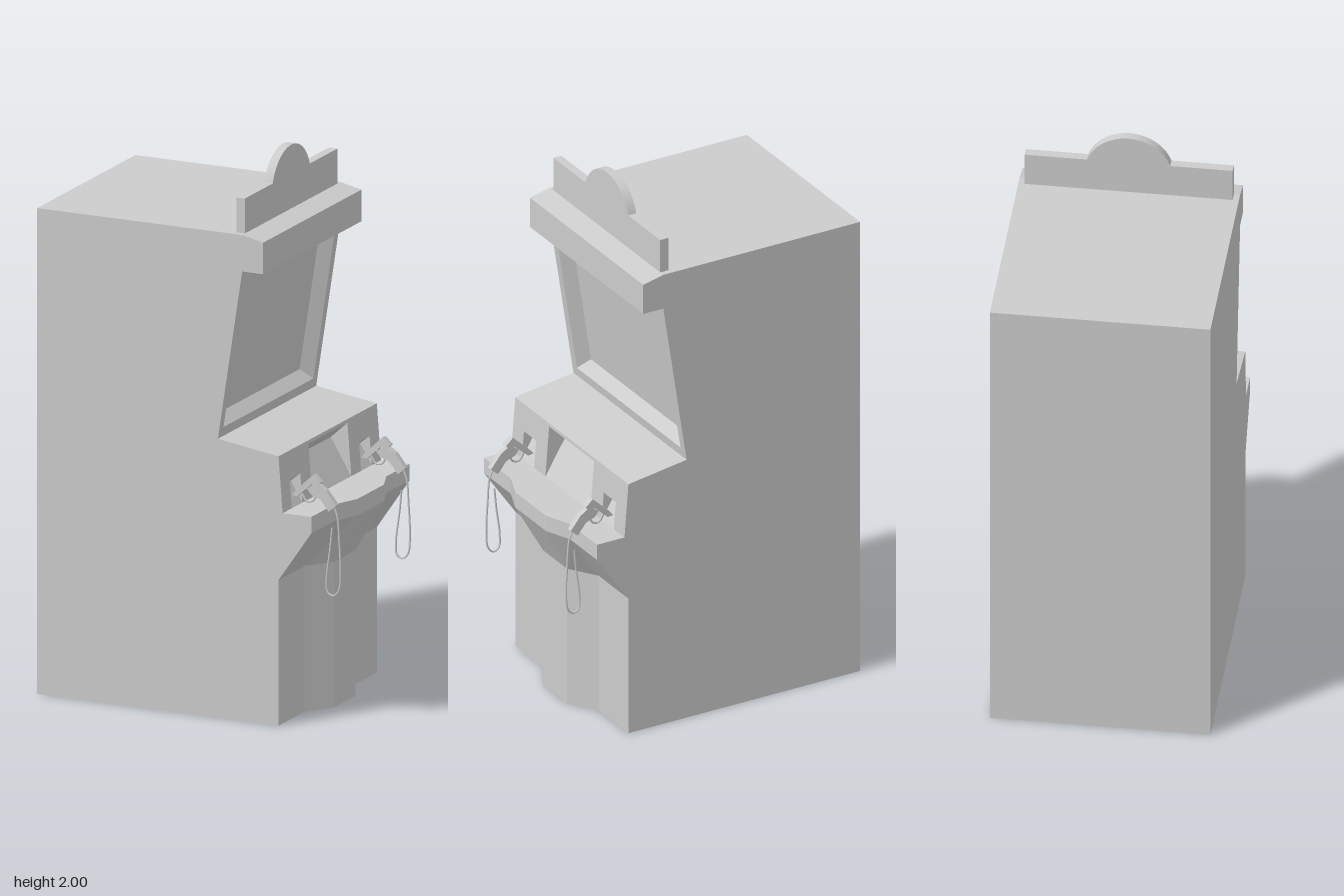
import * as THREE from 'three';

const mat = new THREE.MeshStandardMaterial({ color: 0xcccccc, side: THREE.DoubleSide });
const HALF = 0.39; // half the cabinet width

function add(parent, name, geometry) {
  const mesh = new THREE.Mesh(geometry, mat);
  mesh.name = name;
  parent.add(mesh);
  return mesh;
}

function flat(geometry) {
  const g = geometry.index ? geometry.toNonIndexed() : geometry;
  g.computeVertexNormals();
  return g;
}

// Faceted skin between successive rows of [x, y, z] points
function loft(rows) {
  const pos = [];
  for (let i = 0; i < rows.length - 1; i++) {
    for (let j = 0; j < rows[i].length - 1; j++) {
      const a = rows[i][j], b = rows[i][j + 1], c = rows[i + 1][j + 1], d = rows[i + 1][j];
      pos.push(...a, ...b, ...c, ...a, ...c, ...d);
    }
  }
  const g = new THREE.BufferGeometry();
  g.setAttribute('position', new THREE.Float32BufferAttribute(pos, 3));
  g.computeVertexNormals();
  return g;
}

const polygon = (pts) => new THREE.Shape(pts.map(([x, y]) => new THREE.Vector2(x, y)));

// Full-width strip following a side profile
const strip = (profile) => loft(profile.map(([x, y]) => [[x, y, HALF], [x, y, -HALF]]));

// Flat shape drawn as (s, y) and laid on the slope x = xAt(y), with s running towards -z
function slopedFace(shape, xAt) {
  const g = new THREE.ShapeGeometry(shape);
  const p = g.attributes.position;
  for (let i = 0; i < p.count; i++) p.setXYZ(i, xAt(p.getY(i)), p.getY(i), -p.getX(i));
  return flat(g);
}

const slope = (a, b) => (y) => a[0] + (b[0] - a[0]) * (y - a[1]) / (b[1] - a[1]);

function plate(outline, depth) {
  const g = new THREE.ExtrudeGeometry(outline, { depth, bevelEnabled: false, curveSegments: 20 });
  return g.translate(0, 0, -depth / 2);
}

// Key points of the side profile
const deckBack = [0.14, 1.015], deckFront = [0.377, 0.98], panelFoot = [0.393, 0.775];
const screenTop = [0.235, 1.635];

function addCabinet(root) {
  const profile = [
    [-0.567, 0], [0.377, 0], [0.377, 0.53], [0.505, 0.715], [0.505, 0.775], panelFoot,
    deckFront, deckBack, screenTop, [0.317, 1.635], [0.317, 1.75], [0.235, 1.768], [-0.567, 1.768],
  ];
  for (const side of [1, -1]) {
    const g = new THREE.ShapeGeometry(polygon(profile));
    if (side < 0) g.rotateY(Math.PI).scale(-1, 1, 1).index.array.reverse();
    g.translate(0, 0, side * HALF);
    add(root, side > 0 ? 'sidePanelA' : 'sidePanelB', flat(g));
  }
  add(root, 'marqueeAndRoofAndBack', strip([...profile.slice(8), profile[0]]));
  add(root, 'upperDeck', strip([deckFront, deckBack]));
}

function addFront(root) {
  // Each row: y, side x, centre x, outer and inner z of the bulge
  const rows = [
    [0, 0.377, 0.445, 0.185, 0.083],
    [0.53, 0.377, 0.445, 0.185, 0.083],
    [0.715, 0.505, 0.545, 0.205, 0.106],
    [0.775, 0.505, 0.545, 0.205, 0.106],
  ].map(([y, side, mid, zo, zi]) => [
    [side, y, HALF], [side, y, zo], [mid, y, zi], [mid, y, -zi], [side, y, -zo], [side, y, -HALF],
  ]);
  const rim = rows[3];
  const inner = rim.map(([, y, z]) => [panelFoot[0], y, z]);
  add(root, 'lowerFrontAndLedge', loft([...rows, inner]));
}

function addScreen(root) {
  const xAt = slope(deckBack, screenTop);
  const rect = (w, y0, y1) => [[-w, y0], [w, y0], [w, y1], [-w, y1]];
  const frame = polygon(rect(HALF, deckBack[1], screenTop[1]));
  const opening = rect(0.357, 1.05, 1.605);
  frame.holes.push(polygon(opening));
  add(root, 'screenFrame', slopedFace(frame, xAt));
  // Bevelled surround leading to the recessed screen
  const inset = rect(0.327, 1.087, 1.575);
  const deep = (y) => xAt(y) - 0.045;
  const ring = (pts, f) => [...pts, pts[0]].map(([s, y]) => [f(y), y, -s]);
  add(root, 'screenBezel', loft([ring(opening, xAt), ring(inset, deep)]));
  add(root, 'screen', slopedFace(polygon(inset), deep));
}

function addControlPanel(root) {
  const xAt = slope(panelFoot, deckFront);
  // Notches: centre, half width, top, y of the deepest line, depth
  const notches = [[-0.275, 0.042, 0.88, 0.85, 0.04], [0, 0.155, 0.968, 0.908, 0.07], [0.275, 0.042, 0.88, 0.85, 0.04]];
  const y0 = panelFoot[1], y1 = deckFront[1];
  const outline = [[-HALF, y0]];
  for (const [s, w, top] of notches) outline.push([s - w, y0], [s - w, top], [s + w, top], [s + w, y0]);
  outline.push([HALF, y0], [HALF, y1], [-HALF, y1]);
  add(root, 'controlPanel', slopedFace(polygon(outline), xAt));
  for (const [s, w, top, yDeep, depth] of notches) {
    const pts = [[xAt(y0), y0], [xAt(yDeep) - depth, yDeep], [xAt(top), top]];
    const name = s === 0 ? 'centreRecess' : 'holster';
    add(root, name, loft(pts.map(([x, y]) => [[x, y, w - s], [x, y, -w - s]])));
    for (const e of [w, -w]) {
      const cheek = new THREE.ShapeGeometry(polygon(pts)).translate(0, 0, e - s);
      add(root, name + 'Cheek', flat(cheek));
    }
  }
}

function makeGun() {
  const gun = new THREE.Group();
  const barrel = polygon([[0.378, 0.815], [0.392, 0.832], [0.462, 0.898], [0.49, 0.872], [0.472, 0.853], [0.455, 0.862], [0.4, 0.812]]);
  add(gun, 'gunBarrel', plate(barrel, 0.025));
  const grip = polygon([[0.436, 0.845], [0.475, 0.868], [0.51, 0.845], [0.55, 0.795], [0.522, 0.77], [0.488, 0.812], [0.452, 0.825]]);
  add(gun, 'gunGrip', plate(grip, 0.022));
  // Trigger guard
  const guard = new THREE.CatmullRomCurve3([[0.412, 0.822], [0.43, 0.796], [0.455, 0.8], [0.468, 0.822]]
    .map(([x, y]) => new THREE.Vector3(x, y, 0)));
  add(gun, 'triggerGuard', new THREE.TubeGeometry(guard, 10, 0.004, 6));
  // Cord looping from the grip back to the ledge
  const cord = new THREE.CatmullRomCurve3([
    [0.538, 0.785], [0.55, 0.755], [0.558, 0.66], [0.563, 0.55], [0.556, 0.485], [0.535, 0.463],
    [0.512, 0.475], [0.509, 0.53], [0.522, 0.63], [0.53, 0.71],
  ].map(([x, y]) => new THREE.Vector3(x, y, 0)));
  add(gun, 'gunCord', new THREE.TubeGeometry(cord, 48, 0.0035, 6));
  return gun;
}

function addTopper(root) {
  // Sign board with a rounded crest, standing across the roof
  const s = new THREE.Shape();
  const r = 0.1555, cy = 1.8445, a = Math.asin((1.895 - cy) / r);
  s.moveTo(-0.368, 1.766);
  s.lineTo(0.368, 1.766);
  s.lineTo(0.368, 1.895);
  s.absarc(0, cy, r, a, Math.PI - a, false);
  s.lineTo(-0.368, 1.895);
  const g = plate(s, 0.033);
  g.rotateY(Math.PI / 2).translate(0.218, 0, 0);
  add(root, 'topSign', g);
}

export function createModel() {
  const root = new THREE.Group();
  root.name = 'arcadeCabinet';
  addCabinet(root);
  addFront(root);
  addScreen(root);
  addControlPanel(root);
  addTopper(root);
  for (const z of [0.275, -0.275]) {
    const gun = makeGun();
    gun.name = z > 0 ? 'gunA' : 'gunB';
    gun.position.z = z;
    root.add(gun);
  }
  return root;
}
